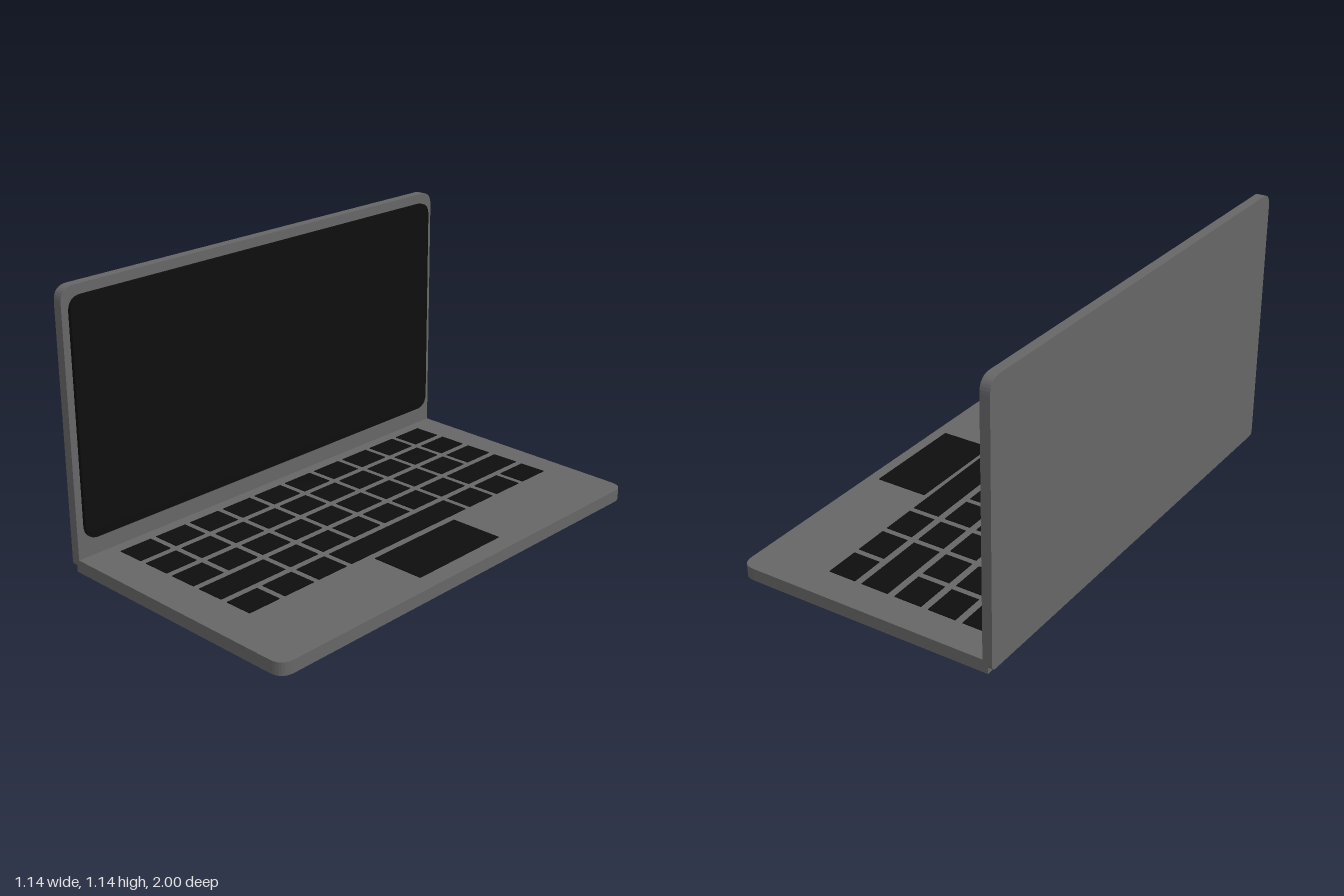
import * as THREE from 'three';

const bodyMat = new THREE.MeshStandardMaterial({ color: 0x666666 });
const darkMat = new THREE.MeshStandardMaterial({ color: 0x0d0d0d });

// Rectangle with its own radius on the low-v and high-v corners
function roundedRect(u0, u1, v0, v1, rLow, rHigh) {
  const s = new THREE.Shape();
  s.moveTo(u0 + rLow, v0);
  s.lineTo(u1 - rLow, v0);
  if (rLow) s.quadraticCurveTo(u1, v0, u1, v0 + rLow);
  s.lineTo(u1, v1 - rHigh);
  s.quadraticCurveTo(u1, v1, u1 - rHigh, v1);
  s.lineTo(u0 + rHigh, v1);
  s.quadraticCurveTo(u0, v1, u0, v1 - rHigh);
  s.lineTo(u0, v0 + rLow);
  if (rLow) s.quadraticCurveTo(u0, v0, u0 + rLow, v0);
  return s;
}

function slab(shape, depth) {
  return new THREE.ExtrudeGeometry(shape, { depth, bevelEnabled: false, curveSegments: 8 });
}

function addMesh(parent, name, geometry, material) {
  const mesh = new THREE.Mesh(geometry, material);
  mesh.name = name;
  parent.add(mesh);
  return mesh;
}

export function createModel() {
  const laptop = new THREE.Group();
  laptop.name = 'laptop';

  // Base: square at the hinge, rounded at the +x edge, sloping gently down to it
  const baseGeo = slab(roundedRect(-1, 1, -0.557, 0.557, 0, 0.06), 0.052);
  baseGeo.rotateZ(-Math.PI / 2).rotateX(-Math.PI / 2); // shape v -> x, depth -> y
  const base = addMesh(laptop, 'base', baseGeo, bodyMat);
  base.position.set(0.011, 0.0065, 0);
  base.rotation.z = -0.01;

  // Lid: upright and very slightly yawed, with the display standing proud of it
  const lid = new THREE.Group();
  lid.name = 'lid';
  lid.position.x = -0.5475;
  lid.rotation.y = -0.004;
  laptop.add(lid);
  const shellGeo = slab(roundedRect(-1, 1, 0.03, 1.14, 0.02, 0.06), 0.04);
  shellGeo.rotateY(Math.PI / 2).translate(-0.02, 0, 0);
  addMesh(lid, 'lidShell', shellGeo, bodyMat);
  const displayGeo = slab(roundedRect(-0.97, 0.97, 0.14, 1.1, 0.06, 0.06), 0.016);
  displayGeo.rotateY(Math.PI / 2).translate(0.019, 0, 0);
  addMesh(lid, 'display', displayGeo, darkMat);

  // Keyboard: thin keys on a plate that leans up towards +z
  const keyboard = new THREE.Group();
  keyboard.name = 'keyboard';
  keyboard.position.y = 0.0725;
  keyboard.rotation.set(-0.0055, 0.006, 0);
  laptop.add(keyboard);
  const pitch = 0.1755;
  const keyLength = 0.148;
  const single = (i) => [i, i];
  const fullRow = Array.from({ length: 10 }, (_, i) => single(i));
  // Each row lists the first and last slot a key covers
  const rows = [
    fullRow, fullRow, fullRow,
    [[0, 1], ...[2, 3, 4, 5, 6, 7].map(single), [8, 9]],
    [...[0, 1, 2].map(single), [3, 6], ...[7, 8, 9].map(single)],
  ];
  rows.forEach((row, r) => row.forEach(([a, b]) => {
    const geo = new THREE.BoxGeometry(0.118, 0.003, keyLength + (b - a) * pitch);
    const key = addMesh(keyboard, b - a === 3 ? 'spaceBar' : 'key', geo, darkMat);
    key.position.set(-0.403 + r * 0.149, 0, -0.797 + pitch * (a + b) / 2);
  }));

  // Trackpad
  const pad = addMesh(laptop, 'trackpad', new THREE.BoxGeometry(0.228, 0.003, 0.465), darkMat);
  pad.position.set(0.392, 0.067, -0.007);

  return laptop;
}
